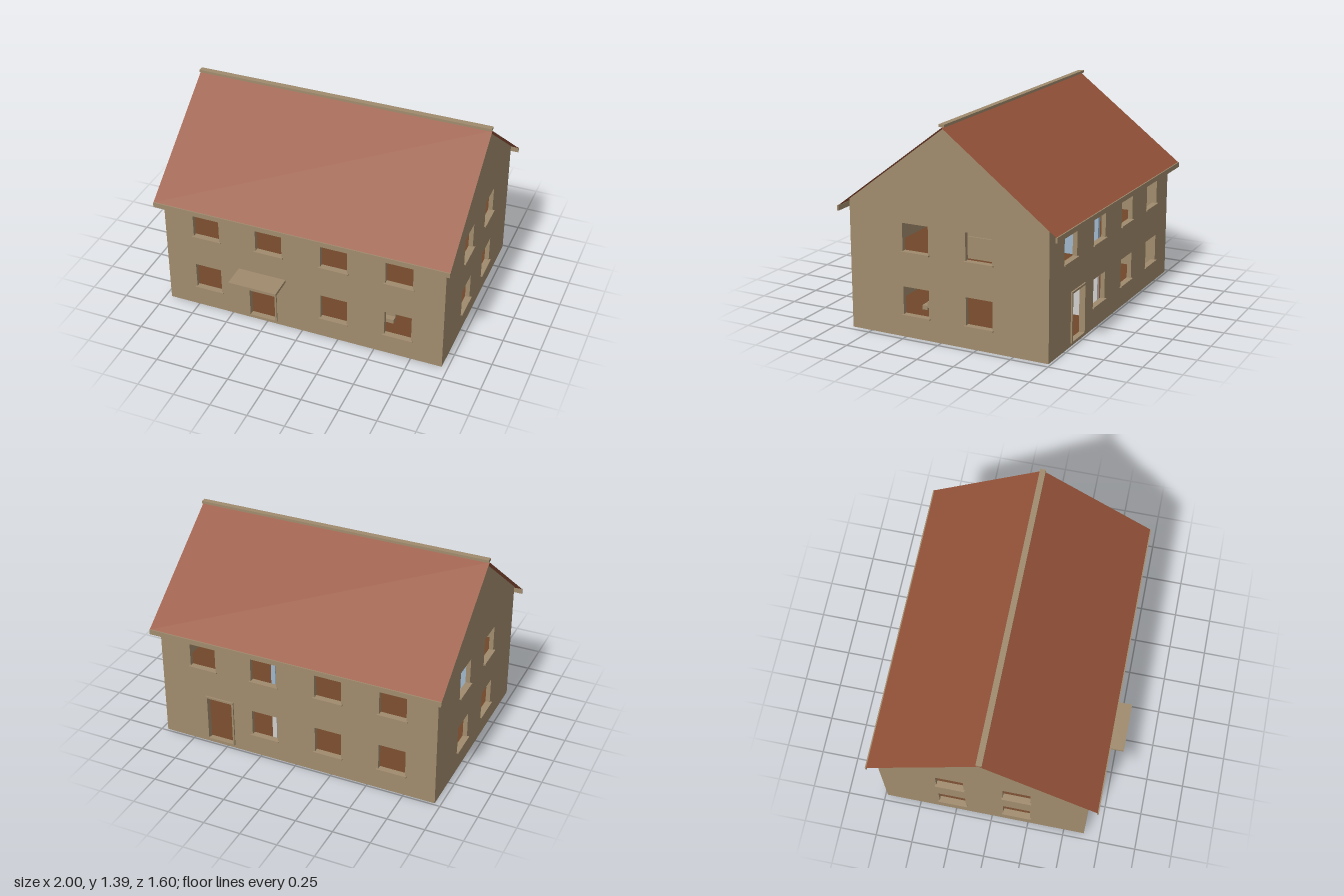
import * as THREE from 'three';

const mat = (name, color, side = THREE.FrontSide) => {
  const m = new THREE.MeshStandardMaterial({ color, side });
  m.name = name;
  return m;
};

export function createModel() {
  const stone = mat('tan stone', 0xa08b6d);
  const tile = mat('terracotta tile', 0x965339, THREE.DoubleSide);
  const wood = mat('brown floor', 0x70472a);
  const plaster = mat('light plaster', 0xd0cecb);
  const blue = mat('blue plaster', 0x9fb6cb);

  const house = new THREE.Group();
  house.name = 'house';

  const add = (name, geometry, material) => {
    const m = new THREE.Mesh(geometry, material);
    m.name = name;
    house.add(m);
    return m;
  };
  // Box given by its limits on each axis
  const box = (name, material, x0, x1, y0, y1, z0, z1) => {
    const m = add(name, new THREE.BoxGeometry(x1 - x0, y1 - y0, z1 - z0), material);
    m.position.set((x0 + x1) / 2, (y0 + y1) / 2, (z0 + z1) / 2);
    return m;
  };
  const polygon = pts => pts.map(p => new THREE.Vector2(p[0], p[1]));
  const rect = (a, b, c, d) => polygon([[a, c], [b, c], [b, d], [a, d]]);
  const plate = (outline, holes, depth) => {
    const s = new THREE.Shape(outline);
    for (const h of holes) s.holes.push(new THREE.Path(h));
    return new THREE.ExtrudeGeometry(s, { depth, bevelEnabled: false });
  };

  // Main dimensions
  const X = 0.96, ZF = 0.64, ZB = -0.735, T = 0.03, ZR = -0.048;
  const EAVE = 0.846, RIDGE = 1.368;
  const IN = X - T;
  const half = 0.091;
  const storeys = [[0.148, 0.33], [0.56, 0.74]];
  const longSpots = [-0.666, -0.227, 0.221, 0.658];
  const sideSpots = [0.171, -0.269];
  const frontDoor = [-0.368, -0.19], backDoor = [0.458, 0.637];
  const hole = (u, [y0, y1]) => rect(u - half, u + half, y0, y1);

  // Front and back walls: four windows above, three windows and a door below
  const longWall = (name, door, skip, z) => {
    const holes = [rect(door[0], door[1], 0.028, 0.342)];
    storeys.forEach((s, floor) => longSpots.forEach((x, i) => {
      if (floor === 1 || i !== skip) holes.push(hole(x, s));
    }));
    add(name, plate(rect(-IN, IN, 0.005, 0.842), holes, T), stone).position.z = z;
  };
  longWall('frontWall', frontDoor, 1, ZF - T);
  longWall('backWall', backDoor, 3, ZB);

  // Gable walls
  for (const side of [1, -1]) {
    const holes = storeys.flatMap(s => sideSpots.map(z => hole(z, s)));
    const outline = polygon([[ZB, 0], [ZF, 0], [ZF, EAVE], [ZR, RIDGE], [ZB, EAVE]]);
    const g = plate(outline, holes, T);
    g.rotateY(-Math.PI / 2);
    add('gableWall', g, stone).position.x = side > 0 ? X : -IN;
  }

  // Window sills
  for (const [y] of storeys) {
    for (const x of longSpots) {
      if (y > 0.5 || x !== longSpots[1]) box('frontSill', stone, x - 0.101, x + 0.101, y - 0.01, y, ZF - 0.01, ZF + 0.012);
      if (y > 0.5 || x !== longSpots[3]) box('backSill', stone, x - 0.101, x + 0.101, y - 0.01, y, ZB - 0.012, ZB + 0.01);
    }
    for (const z of sideSpots) {
      box('rightSill', stone, X - 0.01, X + 0.014, y - 0.01, y, z - 0.099, z + 0.099);
      box('leftSill', stone, -X - 0.014, -X + 0.01, y - 0.01, y, z - 0.099, z + 0.099);
    }
  }

  // Door frames and the canopy over the front door
  const doorFrame = (name, [a, b], z) => {
    const g = plate(rect(a - 0.012, b + 0.012, 0.022, 0.355), [rect(a, b, 0.03, 0.342)], 0.02);
    add(name, g, stone).position.z = z;
  };
  doorFrame('frontDoorFrame', frontDoor, ZF - 0.01);
  doorFrame('backDoorFrame', backDoor, ZB - 0.01);
  box('doorCanopy', stone, -0.443, -0.112, 0.364, 0.384, ZF - 0.01, 0.8);

  // Ground slab and floors, the upper one open over the stairs
  box('groundSlab', stone, -IN, IN, 0, 0.012, ZB, ZF);
  box('groundFloor', wood, -IN, IN, 0.012, 0.022, ZB + T, ZF - T);
  const level = (name, y, depth, material, holes) => {
    const g = plate(rect(-IN, IN, ZB + T, ZF - T), holes, depth);
    g.rotateX(Math.PI / 2);
    add(name, g, material).position.y = y;
  };
  const well = [rect(0.34, 0.545, -0.2, 0.22)];
  level('upperFloor', 0.43, 0.01, wood, well);
  level('lowerCeiling', 0.42, 0.02, plaster, well);
  level('upperCeiling', 0.82, 0.02, plaster, []);

  // Inner walls
  box('lowerPartition', plaster, 0.15, 0.18, 0.022, 0.4, ZB + T, 0.225);
  box('upperPartition', blue, 0.15, 0.18, 0.43, 0.8, ZB + T, 0.225);
  box('upperCrossWall', blue, -IN, 0.15, 0.43, 0.8, -0.17, -0.14);

  // Stairs rising towards the back, with guards around the stairwell
  const steps = 14, rise = 0.029, run = 0.039;
  for (let i = 0; i < steps; i++) {
    const y = 0.022 + rise * (i + 1), z = 0.38 - run * i;
    box('stairStep', stone, 0.345, 0.54, Math.max(0.022, y - rise - 0.012), y, z - run, z);
  }
  for (const x of [0.325, 0.545]) box('stairGuard', stone, x, x + 0.012, 0.43, 0.575, -0.23, 0.225);

  // Roof slopes, fascia boards and ridge cap
  for (const side of [1, -1]) {
    const zEave = ZR + side * 0.75, yEave = 0.802, top = RIDGE + 0.004;
    const g = new THREE.PlaneGeometry(2, Math.hypot(0.75, top - yEave));
    g.rotateX(-Math.atan2(0.75, top - yEave));
    if (side < 0) g.rotateY(Math.PI);
    add(side > 0 ? 'frontRoofSlope' : 'backRoofSlope', g, tile)
      .position.set(0, (top + yEave) / 2, (ZR + zEave) / 2);
    box('fasciaBoard', stone, -1, 1, 0.77, 0.804, zEave - 0.005, zEave + 0.005);
  }
  box('ridgeCap', stone, -1, 1, 1.376, 1.393, ZR - 0.019, ZR + 0.019);

  return house;
}
